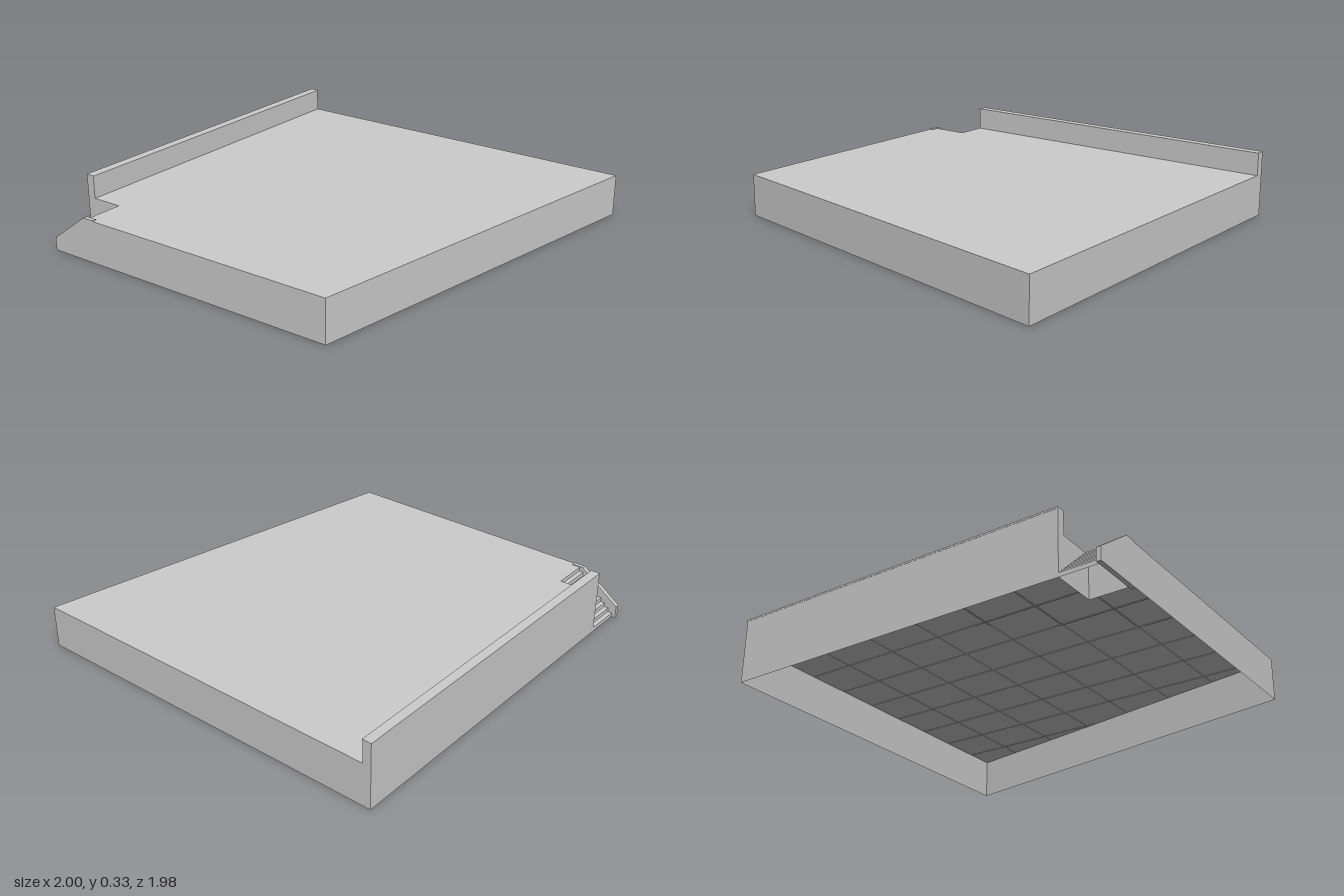
import * as THREE from 'three';

const H = 0.215;          // deck height
const BACK = -0.97;       // back wall
const SX = -0.79;         // inner side of the stairwell
const SZ = -0.74;         // head of the stairs

export function createModel() {
  const group = new THREE.Group();
  const mat = new THREE.MeshStandardMaterial({ color: 0xcccccc, flatShading: true });
  const thin = new THREE.MeshStandardMaterial({ color: 0xcccccc, flatShading: true, side: THREE.DoubleSide });

  const add = (name, geo, x = 0, y = 0, z = 0, m = mat, parent = group) => {
    const mesh = new THREE.Mesh(geo, m);
    mesh.name = name;
    mesh.position.set(x, y, z);
    parent.add(mesh);
    return mesh;
  };
  // Box given by its limits
  const box = (name, x0, x1, y0, y1, z0, z1, parent) =>
    add(name, new THREE.BoxGeometry(x1 - x0, y1 - y0, z1 - z0),
      (x0 + x1) / 2, (y0 + y1) / 2, (z0 + z1) / 2, mat, parent);

  // Plan outline as [x, z]: slanted front, notch for the stairs at the back
  const outline = [[-1, 0.635], [1, 0.99], [1, BACK], [SX, BACK], [SX, SZ], [-1, SZ]];

  // Deck: a thin slab, open underneath
  const plan = new THREE.Shape(outline.map(([x, z]) => new THREE.Vector2(x, -z)));
  const deckGeo = new THREE.ExtrudeGeometry(plan, { depth: 0.006, bevelEnabled: false });
  deckGeo.rotateX(-Math.PI / 2);
  add('deck', deckGeo, 0, H - 0.006, 0);

  // Sheet walls down to the ground all round the outline
  const walls = new THREE.Group();
  walls.name = 'perimeterWalls';
  group.add(walls);
  outline.forEach(([x0, z0], i) => {
    const [x1, z1] = outline[(i + 1) % outline.length];
    const geo = new THREE.PlaneGeometry(Math.hypot(x1 - x0, z1 - z0), H);
    const wall = add('wall', geo, (x0 + x1) / 2, H / 2, (z0 + z1) / 2, thin, walls);
    wall.rotation.y = -Math.atan2(z1 - z0, x1 - x0);
  });

  // Slab joints showing on the underside
  const joints = new THREE.Group();
  joints.name = 'undersideJoints';
  group.add(joints);
  const frontZ = x => 0.8125 + 0.1775 * x;
  const y0 = H - 0.009, y1 = H - 0.005, w = 0.003;
  for (let i = 0; i < 8; i++) {
    const z = -0.72 + i * 0.222;
    const left = z > 0.63 ? (z - 0.8125) / 0.1775 + 0.03 : -0.995;
    box('crossJoint', left, 0.995, y0, y1, z - w, z + w, joints);
  }
  for (let i = 0; i < 7; i++) {
    const x = -0.92 + i * 0.28;
    box('longJoint', x - w, x + w, y0, y1, x < SX ? SZ : BACK + 0.005, frontZ(x) - 0.01, joints);
  }

  // Parapet along the back edge with a slim cap
  box('parapet', SX, 1, H - 0.004, 0.323, BACK, -0.926);
  box('parapetCap', SX, 1, 0.323, 0.332, BACK - 0.001, -0.923);

  // Stairs climbing from the back up to the deck
  const stairs = new THREE.Group();
  stairs.name = 'stairs';
  group.add(stairs);
  const steps = 10, run = (SZ - BACK) / steps, rise = H / steps;
  const x0 = -0.978, width = SX - x0, cx = (SX + x0) / 2;
  const riser = new THREE.PlaneGeometry(width, rise).rotateY(Math.PI);
  const tread = new THREE.PlaneGeometry(width, run).rotateX(-Math.PI / 2);
  for (let i = 0; i < steps; i++) {
    const z = BACK + i * run;
    add('riser', riser, cx, (i + 0.5) * rise, z, mat, stairs);
    add('tread', tread, cx, (i + 1) * rise, z + run / 2, mat, stairs);
  }

  // Sloping side wall on the outer side of the stairs
  const side = new THREE.Shape([[0.72, 0], [0.99, 0], [0.99, 0.065], [0.78, 0.219], [0.72, 0.219]]
    .map(([a, b]) => new THREE.Vector2(a, b)));
  const sideGeo = new THREE.ExtrudeGeometry(side, { depth: 0.022, bevelEnabled: false });
  sideGeo.rotateY(Math.PI / 2);
  add('stairSideWall', sideGeo, -1, 0, 0);

  return group;
}
